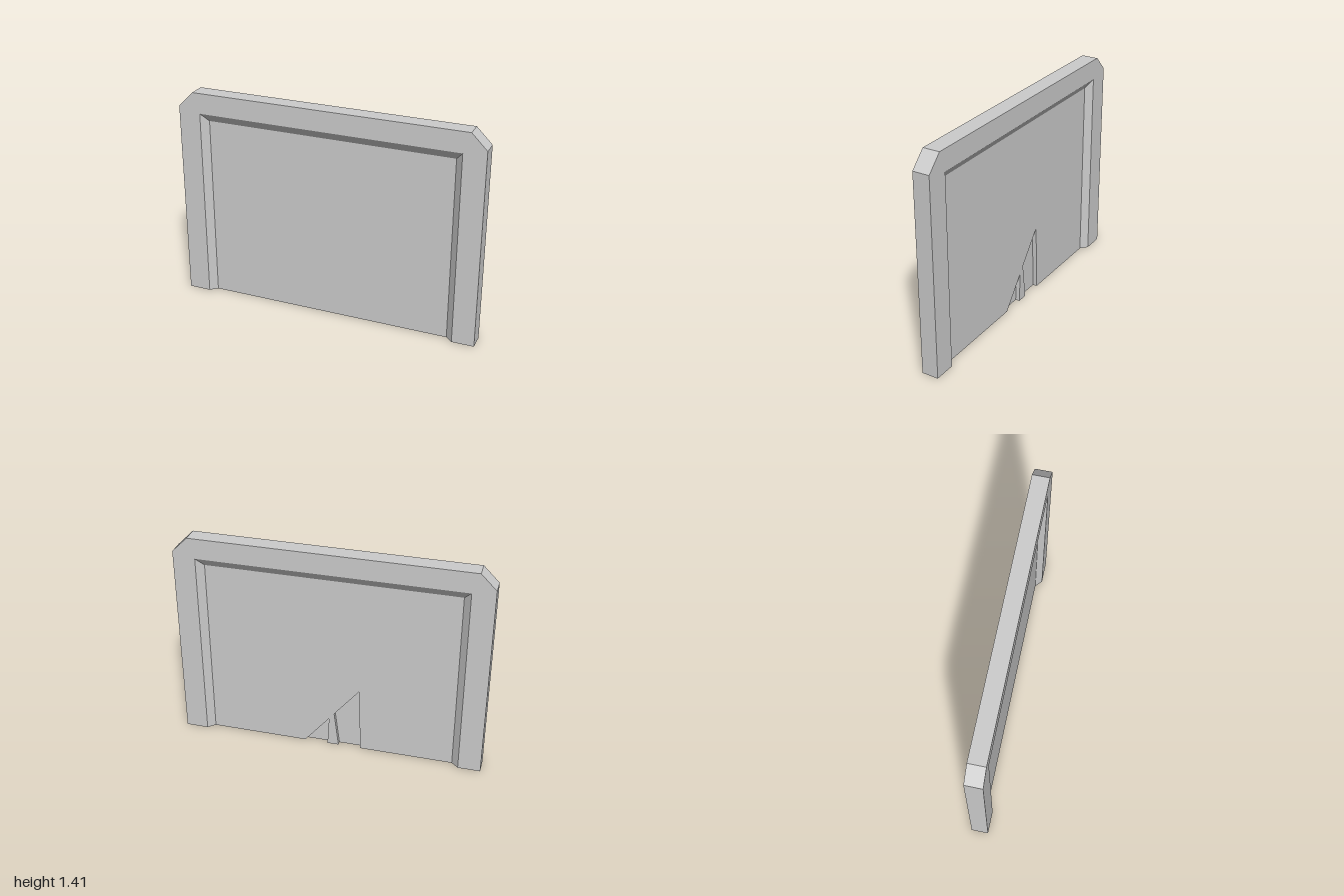
import * as THREE from 'three';

const H = 0.055;      // half thickness of the frame
const P = 0.015;      // half thickness of the panel
const POCKET = 0.028; // depth of the notches in the back

// Sweeps a six-sided section from the left foot, over the top, to the right foot
function frameGeometry() {
  const outer = [[-1, 0], [-1, 1.31], [-0.9, 1.41], [0.9, 1.41], [1, 1.31], [1, 0]];
  const inner = (w, h) => [[-w, 0], [-w, h], [-w, h], [w, h], [w, h], [w, 0]];
  const rim = inner(0.855, 1.275);
  const floor = inner(0.81, 1.22);
  const sections = outer.map((o, i) => [
    [...o, H], [...rim[i], H], [...floor[i], P],
    [...floor[i], -P], [...rim[i], -H], [...o, -H],
  ]);

  const pos = [];
  const tri = (a, b, c) => pos.push(...a, ...b, ...c);
  for (let i = 0; i < 5; i++) {
    for (let k = 0; k < 6; k++) {
      const n = (k + 1) % 6;
      const a = sections[i][k], b = sections[i + 1][k];
      const c = sections[i + 1][n], d = sections[i][n];
      tri(a, d, c);
      tri(a, c, b);
    }
  }
  // Feet
  for (let k = 1; k < 5; k++) {
    tri(sections[0][0], sections[0][k + 1], sections[0][k]);
    tri(sections[5][0], sections[5][k], sections[5][k + 1]);
  }
  const geo = new THREE.BufferGeometry();
  geo.setAttribute('position', new THREE.Float32BufferAttribute(pos, 3));
  geo.computeVertexNormals();
  return geo;
}

export function createModel() {
  const group = new THREE.Group();
  const mat = new THREE.MeshStandardMaterial({ color: 0xcccccc, flatShading: true });
  const add = (name, geo, y = 0, z = 0) => {
    const mesh = new THREE.Mesh(geo, mat);
    mesh.name = name;
    mesh.position.set(0, y, z);
    group.add(mesh);
  };

  // Chamfered frame with a bevelled inner edge on both sides
  add('frame', frameGeometry());

  // Thin front sheet, which is also the floor of the notches
  const sheet = 2 * P - POCKET;
  add('frontPanel', new THREE.BoxGeometry(1.62, 1.22, sheet), 0.61, P - sheet / 2);

  // Back panel with two slanted notches and a tapered bar between them
  const outline = [
    [-0.81, 0], [-0.2, 0], [-0.187, 0.445], [-0.022, 0.243], [-0.052, 0],
    [0.023, 0], [0.012, 0.2], [0.175, 0], [0.81, 0], [0.81, 1.22], [-0.81, 1.22],
  ].map(([x, y]) => new THREE.Vector2(x, y));
  add('backPanel', new THREE.ExtrudeGeometry(new THREE.Shape(outline),
    { depth: POCKET, bevelEnabled: false }), 0, -P);

  return group;
}
